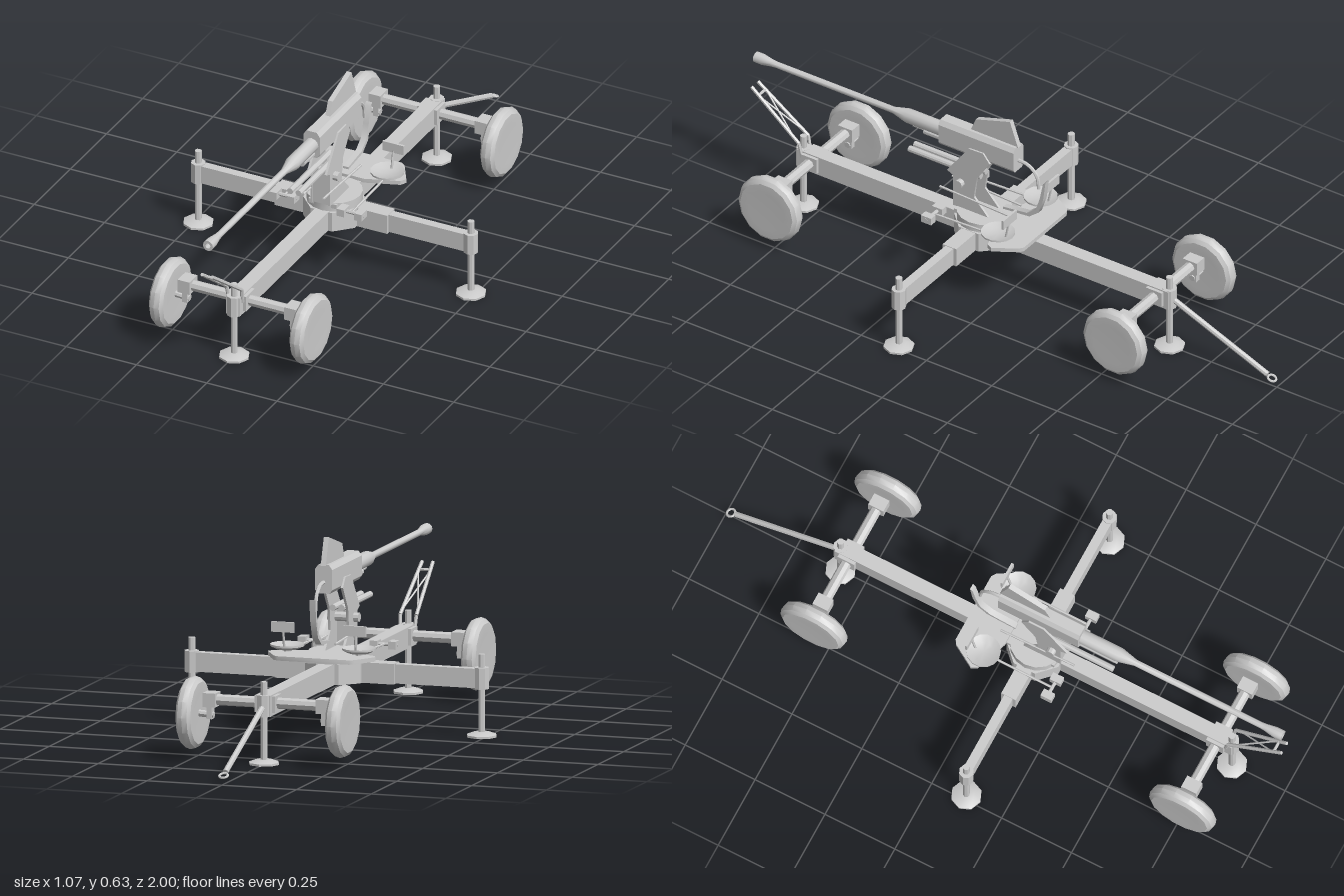
import * as THREE from 'three';
import { toCreasedNormals } from 'three/addons/utils/BufferGeometryUtils.js';

const V = (x, y, z) => new THREE.Vector3(x, y, z);

export function createModel() {
  const root = new THREE.Group();
  root.name = 'towedGun';
  const mat = new THREE.MeshStandardMaterial({ color: 0xcccccc, side: THREE.DoubleSide });

  const add = (name, geo, parent = root) => {
    const m = new THREE.Mesh(toCreasedNormals(geo, 0.6), mat);
    m.name = name;
    parent.add(m);
    return m;
  };
  // box given by its min and max corners
  const box = (name, x0, x1, y0, y1, z0, z1, parent) =>
    add(name, new THREE.BoxGeometry(x1 - x0, y1 - y0, z1 - z0)
      .translate((x0 + x1) / 2, (y0 + y1) / 2, (z0 + z1) / 2), parent);
  // round bar between two points
  const rod = (name, a, b, r, sides = 8, parent = root, r2 = r) => {
    const d = b.clone().sub(a);
    const m = add(name, new THREE.CylinderGeometry(r2, r, d.length(), sides), parent);
    m.position.copy(a).addScaledVector(d, 0.5);
    m.quaternion.setFromUnitVectors(V(0, 1, 0), d.normalize());
    return m;
  };
  const polygon = pts => new THREE.Shape(pts.map(p => new THREE.Vector2(...p)));
  // side outline of [z, y] points, given a width along x
  const sidePlate = (name, pts, x, w) =>
    add(name, new THREE.ExtrudeGeometry(polygon(pts), { depth: w, bevelEnabled: false })
      .rotateY(-Math.PI / 2).translate(x + w / 2, 0, 0));
  // profile of [radius, z] points turned about the z axis
  const turned = (name, pts, y, sides = 12) =>
    add(name, new THREE.LatheGeometry(pts.map(p => new THREE.Vector2(...p)), sides)
      .rotateX(Math.PI / 2).translate(0, y, 0));

  const CZ = 0.116; // centre of the cross-shaped carriage

  // Carriage beams and hub
  box('mainBeam', -0.024, 0.024, 0.155, 0.222, -0.6, 0.82);
  const hub = add('carriageHub', new THREE.CylinderGeometry(0.1, 0.1, 0.067, 8).rotateY(Math.PI / 8));
  hub.position.set(0, 0.1885, CZ);
  const turntable = add('turntable', new THREE.CylinderGeometry(0.09, 0.09, 0.03, 16));
  turntable.position.set(0, 0.237, CZ);
  for (const s of [-1, 1]) {
    const arm = new THREE.Group();
    arm.name = s > 0 ? 'leftOutrigger' : 'rightOutrigger';
    root.add(arm);
    const mid = box('armRoot', -0.06, 0.06, 0.155, 0.221, CZ - 0.026, CZ + 0.026, arm);
    mid.position.x = s * 0.14;
    const beam = box('armBeam', -0.15, 0.15, 0.157, 0.219, CZ - 0.015, CZ + 0.015, arm);
    beam.position.x = s * 0.35;
  }

  // Levelling jacks
  for (const [x, z] of [[0, 0.81], [0, -0.59], [0.485, CZ], [-0.485, CZ]]) {
    const jack = new THREE.Group();
    jack.name = 'jack';
    jack.position.set(x, 0, z);
    root.add(jack);
    rod('jackPad', V(0, 0, 0), V(0, 0.007, 0), 0.05, 8, jack);
    rod('jackPadTop', V(0, 0.007, 0), V(0, 0.016, 0), 0.05, 8, jack, 0.025);
    rod('jackScrew', V(0, 0.01, 0), V(0, 0.265, 0), 0.0115, 8, jack);
    rod('jackSleeve', V(0, 0.154, 0), V(0, 0.223, 0), 0.024, 8, jack);
  }

  // Axles and wheels
  const tyre = [[0, -0.02], [0.07, -0.026], [0.1, -0.025], [0.112, -0.016], [0.117, 0],
    [0.112, 0.016], [0.1, 0.025], [0.07, 0.026], [0, 0.02]].map(p => new THREE.Vector2(...p));
  for (const z of [0.766, -0.553]) {
    const axle = new THREE.Group();
    axle.name = z > 0 ? 'frontAxle' : 'rearAxle';
    axle.position.z = z;
    root.add(axle);
    rod('axleTube', V(-0.2, 0.192, 0), V(0.2, 0.192, 0), 0.018, 8, axle);
    box('axleClamp', -0.035, 0.035, 0.165, 0.218, -0.03, 0.03, axle);
    for (const s of [-1, 1]) {
      const end = new THREE.Group();
      end.name = 'axleEnd';
      axle.add(end);
      const block = box('axleBlock', -0.021, 0.021, 0.17, 0.215, -0.027, 0.027, end);
      block.position.x = s * 0.189;
      const knuckle = box('knuckle', -0.009, 0.009, 0.13, 0.175, -0.014, 0.014, end);
      knuckle.position.x = s * 0.192;
      rod('spindle', V(s * 0.18, 0.142, 0), V(s * 0.235, 0.146, 0), 0.011, 8, end);
      const wheel = add('wheel', new THREE.LatheGeometry(tyre, 14).rotateZ(Math.PI / 2), end);
      wheel.position.set(s * 0.25, 0.146, 0);
    }
  }

  // Rear tow bar with ring
  rod('towBar', V(0, 0.182, -0.61), V(0, 0.036, -0.965), 0.0095);
  const ring = add('towRing', new THREE.TorusGeometry(0.014, 0.004, 6, 14).rotateX(Math.PI / 2 - 0.39));
  ring.position.set(0, 0.028, -0.982);

  // Front travel lock: A-frame leaning forward
  const foot = V(0.027, 0.25, 0.81), tip = V(0.018, 0.39, 0.997);
  const onLeg = (s, t) => foot.clone().lerp(tip, t).multiply(V(s, 1, 1));
  for (const s of [-1, 1]) {
    rod('travelLockLeg', onLeg(s, 0), onLeg(s, 1), 0.006, 6);
    rod('travelLockBrace', onLeg(s, 0.1), onLeg(-s, 0.82), 0.003, 6);
    rod('travelLockFoot', V(s * 0.024, 0.2, 0.8), onLeg(s, 0), 0.006, 6);
  }
  rod('travelLockBar', onLeg(-1, 0.85), onLeg(1, 0.85), 0.005, 6);

  // Crew platform
  const deck = [[-0.12, -0.115], [0.12, -0.115], [0.135, -0.105], [0.18, -0.03], [0.17, -0.01],
    [0.06, 0.03], [-0.06, 0.03], [-0.17, -0.01], [-0.18, -0.03], [-0.135, -0.105]];
  add('platform', new THREE.ExtrudeGeometry(polygon(deck), { depth: 0.014, bevelEnabled: false })
    .rotateX(Math.PI / 2).translate(0, 0.262, 0));
  box('platformSupport', -0.05, 0.05, 0.235, 0.25, -0.06, 0.2);

  // Seats, backrests, foot pedals
  const dish = [[0, 0.268], [0.035, 0.27], [0.055, 0.28], [0.055, 0.286], [0.03, 0.277], [0, 0.275]]
    .map(p => new THREE.Vector2(...p));
  for (const s of [-1, 1]) {
    const seat = new THREE.Group();
    seat.name = s > 0 ? 'leftSeat' : 'rightSeat';
    seat.position.x = s * 0.12;
    root.add(seat);
    add('seatDish', new THREE.LatheGeometry(dish, 14), seat).position.z = -0.015;
    rod('seatStem', V(0, 0.25, -0.015), V(0, 0.272, -0.015), 0.012, 8, seat);
    rod('backPost', V(0, 0.275, -0.045), V(0, 0.34, -0.058), 0.004, 6, seat);
    box('backrest', -0.038, 0.038, 0.33, 0.363, -0.062, -0.054, seat);
    rod('pedalRod', V(0, 0.265, 0.02), V(0, 0.258, 0.23), 0.004, 6, seat);
    rod('pedalBar', V(-0.045, 0.258, 0.23), V(0.045, 0.258, 0.23), 0.006, 6, seat);
    for (const p of [-0.031, 0.031])
      box('pedal', p - 0.013, p + 0.013, 0.245, 0.27, 0.211, 0.25, seat);
    rod('trainingLink', V(s * 0.035, 0.29, 0), V(s * 0.035, 0.302, 0.265), 0.004, 6);
  }

  // Pedestal cheeks, trunnion and balance springs
  const cheek = [[0.215, 0.25], [0.215, 0.365], [0.238, 0.375], [0.155, 0.488], [0.1, 0.49],
    [0.075, 0.458], [0.125, 0.385], [0.135, 0.31], [0.08, 0.25]];
  for (const s of [-1, 1]) {
    sidePlate('cheek', cheek, s * 0.031, 0.008);
    rod('balanceSpring', V(s * 0.015, 0.385, 0.12), V(s * 0.015, 0.385, 0.395), 0.0105, 10);
  }
  box('pedestalFront', -0.028, 0.028, 0.25, 0.375, 0.195, 0.212);
  rod('trunnion', V(-0.052, 0.347, 0.185), V(0.052, 0.347, 0.185), 0.015, 10);

  // Receiver with chamfered section
  const section = [[-0.029, 0.465], [-0.02, 0.453], [0.02, 0.453], [0.029, 0.465],
    [0.029, 0.53], [0.018, 0.545], [-0.018, 0.545], [-0.029, 0.53]];
  add('receiver', new THREE.ExtrudeGeometry(polygon(section), { depth: 0.287, bevelEnabled: false })
    .translate(0, 0, -0.012));
  sidePlate('loadingGuide', [[0.165, 0.542], [0.145, 0.59], [0.015, 0.63], [-0.016, 0.542]], 0, 0.017);

  // Barrel, spring housing, flared muzzle with open bore
  turned('barrel', [[0, 0.26], [0.024, 0.26], [0.024, 0.41], [0.011, 0.465], [0.0105, 0.915],
    [0.012, 0.93], [0.018, 0.965], [0.018, 0.992], [0.009, 0.992], [0.008, 0.93], [0, 0.93]], 0.497);
  rod('recoilCylinder', V(0, 0.465, 0.26), V(0, 0.465, 0.345), 0.012, 10);
  rod('recoilRod', V(0, 0.47, 0.34), V(0, 0.47, 0.39), 0.006, 8);

  // Rear case deflector and curved chute
  const deflector = new THREE.CatmullRomCurve3(
    [V(0, 0.49, 0), V(0, 0.484, -0.05), V(0, 0.455, -0.082), V(0, 0.41, -0.09)]);
  add('caseDeflector', new THREE.TubeGeometry(deflector, 10, 0.006, 6));
  sidePlate('caseChute', [[-0.122, 0.45], [-0.113, 0.38], [-0.095, 0.325], [-0.06, 0.297], [0.04, 0.288],
    [0.04, 0.296], [-0.05, 0.307], [-0.085, 0.334], [-0.1, 0.38], [-0.112, 0.44]], 0, 0.02);

  return root;
}
